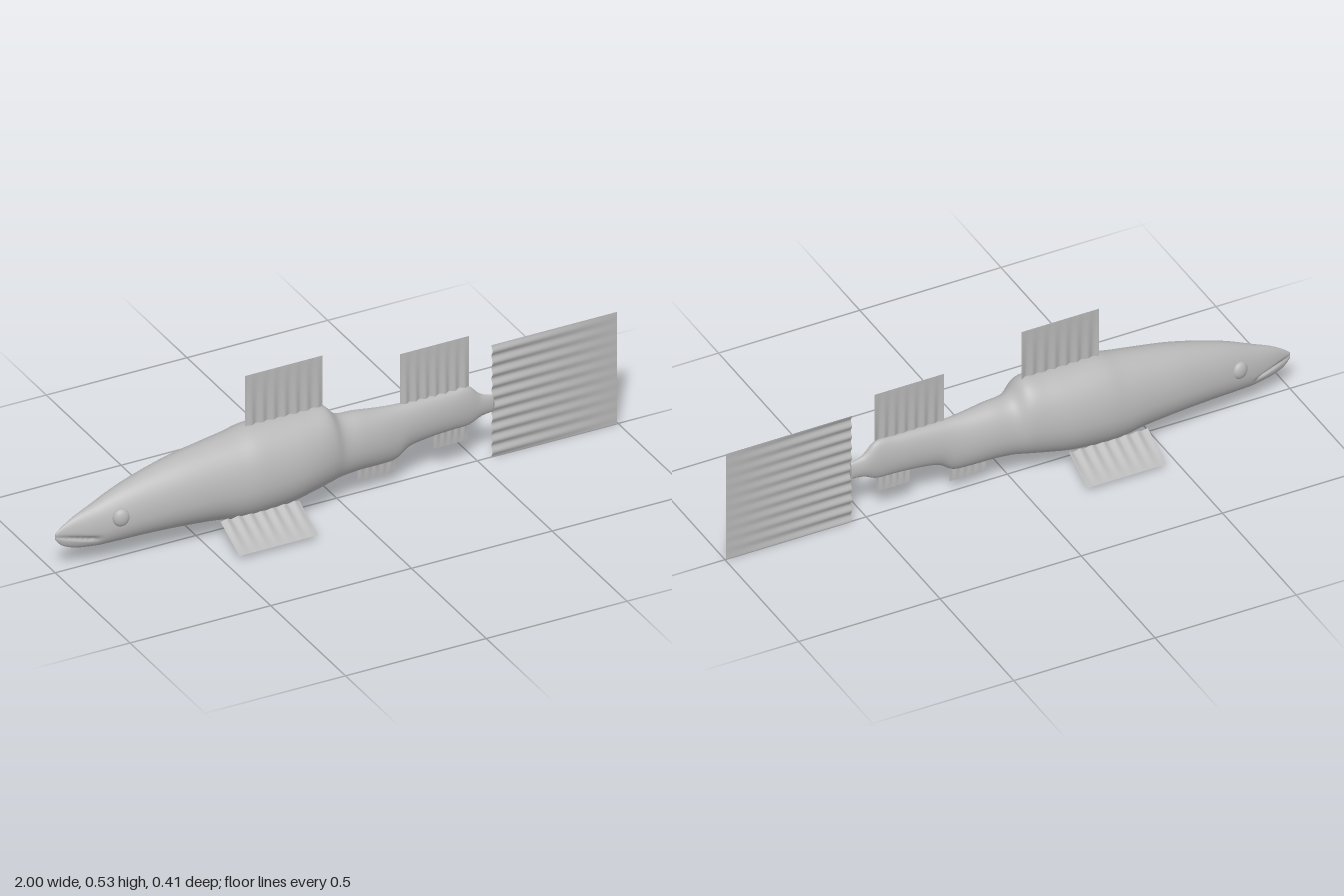
import * as THREE from 'three';

const skin = new THREE.MeshStandardMaterial({ color: 0xb8b8b8 });
skin.name = 'grey skin';
const finSkin = new THREE.MeshStandardMaterial({ color: 0xb8b8b8, side: THREE.DoubleSide });
finSkin.name = 'grey fin';

// Body stations from snout to tail stalk: x, top y, bottom y, half width
const STATIONS = [
  [-1.0, 0.14, 0.118, 0.004], [-0.975, 0.16, 0.092, 0.012], [-0.93, 0.186, 0.074, 0.026],
  [-0.87, 0.211, 0.066, 0.042], [-0.79, 0.245, 0.066, 0.06], [-0.7, 0.275, 0.067, 0.076],
  [-0.58, 0.305, 0.064, 0.094], [-0.46, 0.325, 0.055, 0.107], [-0.38, 0.337, 0.043, 0.117],
  [-0.31, 0.35, 0.041, 0.123], [-0.2, 0.35, 0.05, 0.122], [-0.12, 0.35, 0.064, 0.112],
  [-0.05, 0.347, 0.077, 0.096], [0.0, 0.302, 0.086, 0.077], [0.07, 0.295, 0.09, 0.068],
  [0.14, 0.286, 0.088, 0.059], [0.2, 0.281, 0.091, 0.049], [0.25, 0.28, 0.122, 0.041],
  [0.32, 0.28, 0.134, 0.035], [0.4, 0.28, 0.139, 0.03], [0.465, 0.28, 0.141, 0.025],
  [0.51, 0.24, 0.16, 0.018], [0.555, 0.225, 0.165, 0.01],
];

function bodyGeometry() {
  const rows = 132, around = 72;
  const curve = (k) => new THREE.SplineCurve(STATIONS.map((s) => new THREE.Vector2(s[0], s[k])));
  const [topC, botC, wideC] = [curve(1), curve(2), curve(3)];
  const pos = [], idx = [];
  for (let i = 0; i <= rows; i++) {
    const t = i / rows;
    const { x, y: top } = topC.getPoint(t);
    const bot = botC.getPoint(t).y, wide = wideC.getPoint(t).y;
    const mid = bot + (top - bot) * THREE.MathUtils.lerp(0.42, 0.5, t);
    // mouth crease with a slightly inset lower jaw, fading out behind the snout
    const lip = 0.13 - 0.19 * (x + 1);
    const fade = 1 - THREE.MathUtils.smoothstep(x, -0.89, -0.85);
    for (let j = 0; j < around; j++) {
      const a = (j / around) * Math.PI * 2, c = Math.cos(a);
      const y = mid + c * (c > 0 ? top - mid : mid - bot);
      const groove = 0.35 * Math.exp(-(((y - lip) / 0.007) ** 2));
      const inset = y < lip ? 0.15 : 0;
      pos.push(x, y, wide * Math.sin(a) * (1 - fade * (groove + inset)));
    }
  }
  for (let i = 0; i < rows; i++) {
    for (let j = 0; j < around; j++) {
      const k = (j + 1) % around;
      const a = i * around + j, b = i * around + k, c = a + around, d = b + around;
      idx.push(a, b, c, b, d, c);
    }
  }
  // end caps
  for (let j = 1; j < around - 1; j++) {
    const e = rows * around;
    idx.push(0, j + 1, j, e, e + j, e + j + 1);
  }
  const g = new THREE.BufferGeometry();
  g.setAttribute('position', new THREE.Float32BufferAttribute(pos, 3));
  g.setIndex(idx);
  g.computeVertexNormals();
  return g;
}

// Corrugated sheet: root edge start, edge vector, outward vector; ripples flatten towards the tip
function fin(name, root, edge, out, ripples, depth = 0.008) {
  const [r, e, o] = [root, edge, out].map((v) => new THREE.Vector3(...v));
  const n = new THREE.Vector3().crossVectors(e, o).normalize();
  if (n.z < 0) n.negate();
  const g = new THREE.PlaneGeometry(1, 1, ripples * 10, 8);
  const p = g.attributes.position, v = new THREE.Vector3();
  for (let i = 0; i < p.count; i++) {
    const s = p.getX(i) + 0.5, t = p.getY(i) + 0.5;
    const wave = depth * (1 - t) * (0.5 - 0.5 * Math.cos(s * ripples * Math.PI * 2));
    v.copy(r).addScaledVector(e, s).addScaledVector(o, t).addScaledVector(n, wave);
    p.setXYZ(i, v.x, v.y, v.z);
  }
  g.computeVertexNormals();
  const m = new THREE.Mesh(g, finSkin);
  m.name = name;
  return m;
}

export function createModel() {
  const fish = new THREE.Group();
  fish.name = 'fish';

  const body = new THREE.Mesh(bodyGeometry(), skin);
  body.name = 'body';
  fish.add(body);

  // Fins on the centre line
  fish.add(
    fin('frontDorsalFin', [-0.325, 0.33, 0], [0.275, 0, 0], [0, 0.2, 0], 7),
    fin('rearDorsalFin', [0.225, 0.265, 0], [0.245, 0, 0], [0, 0.195, 0], 7),
    fin('frontAnalFin', [0.075, 0.11, 0], [0.13, 0, 0], [0, -0.07, 0], 5, 0.005),
    fin('rearAnalFin', [0.345, 0.155, 0], [0.12, 0, 0], [0, -0.07, 0], 5, 0.005),
    fin('tailFin', [0.55, 0, 0], [0, 0.405, 0], [0.447, 0, 0], 10),
  );

  // Paired fins and eyes
  for (const side of [1, -1]) {
    const label = side > 0 ? 'front' : 'back';
    fish.add(fin(label + 'PectoralFin', [-0.455, 0.078, side * 0.08], [0.28, 0, 0],
      [0, -0.061, side * 0.125], 7));
    const eye = new THREE.Mesh(new THREE.SphereGeometry(0.029, 28, 18), skin);
    eye.name = label + 'Eye';
    eye.scale.set(0.95, 1.05, 0.6);
    eye.position.set(-0.795, 0.172, side * 0.054);
    eye.rotation.y = -side * 0.2;
    fish.add(eye);
  }
  return fish;
}
